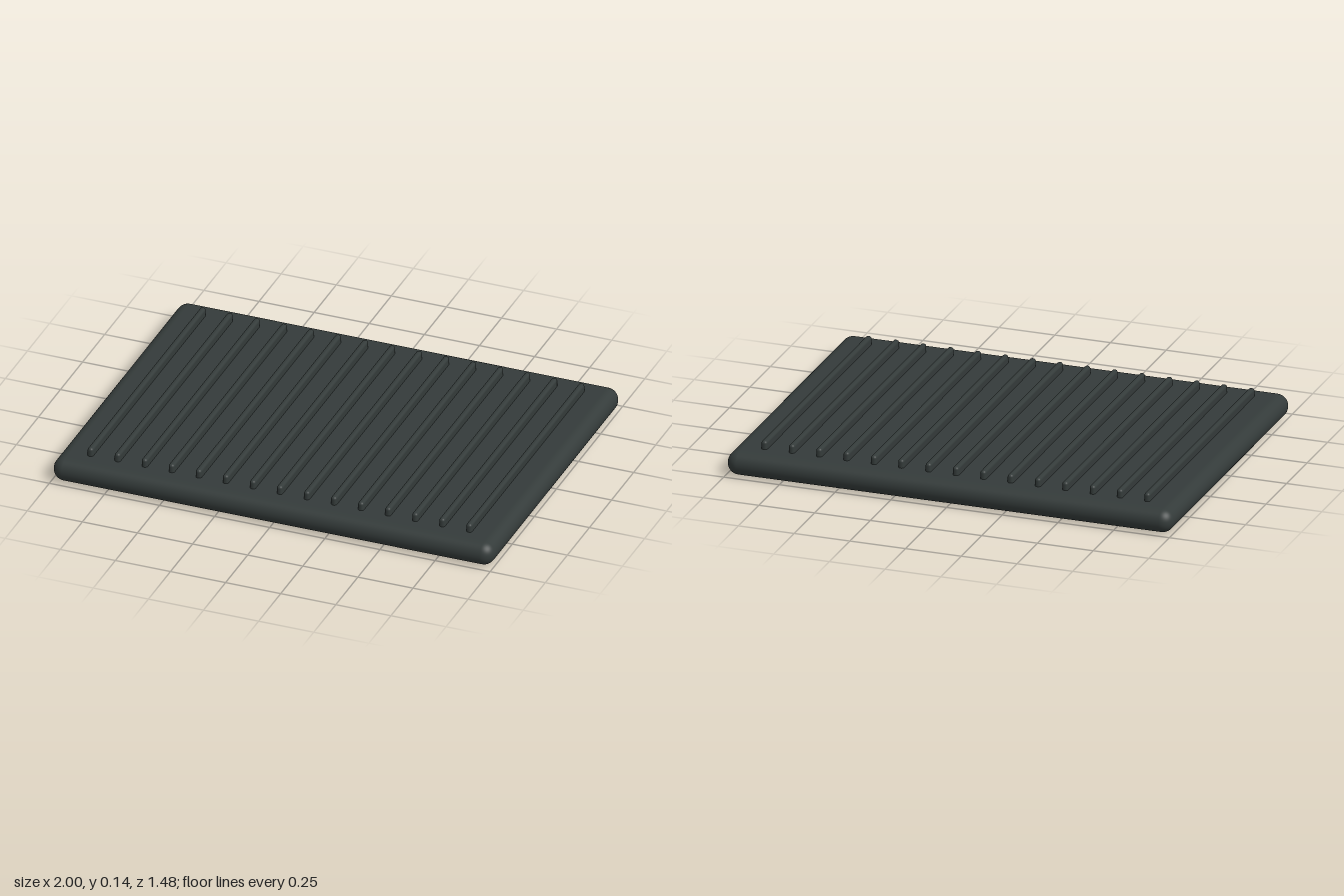
import * as THREE from 'three';
import { RoundedBoxGeometry } from 'three/addons/geometries/RoundedBoxGeometry.js';

export function createModel() {
  const model = new THREE.Group();
  model.name = 'ribbedMat';

  const darkRubber = new THREE.MeshStandardMaterial({ color: 0x343b3a });
  darkRubber.name = 'darkRubber';

  // Slab with fully rounded edges
  const slabHeight = 0.105;
  const slab = new THREE.Mesh(new RoundedBoxGeometry(2, slabHeight, 1.484, 6, 0.052), darkRubber);
  slab.name = 'slab';
  slab.position.y = slabHeight / 2;
  model.add(slab);

  // Evenly spaced grip ribs, sunk into the slab
  const ribCount = 15, ribSpacing = 0.1227, ribTop = 0.142, ribHeight = 0.07;
  const ribGeometry = new RoundedBoxGeometry(0.026, ribHeight, 1.29, 4, 0.012);
  const ribs = new THREE.Group();
  ribs.name = 'ribs';
  for (let i = 0; i < ribCount; i++) {
    const rib = new THREE.Mesh(ribGeometry, darkRubber);
    rib.name = `rib${i + 1}`;
    rib.position.set((i - (ribCount - 1) / 2) * ribSpacing, ribTop - ribHeight / 2, 0);
    ribs.add(rib);
  }
  model.add(ribs);

  return model;
}
